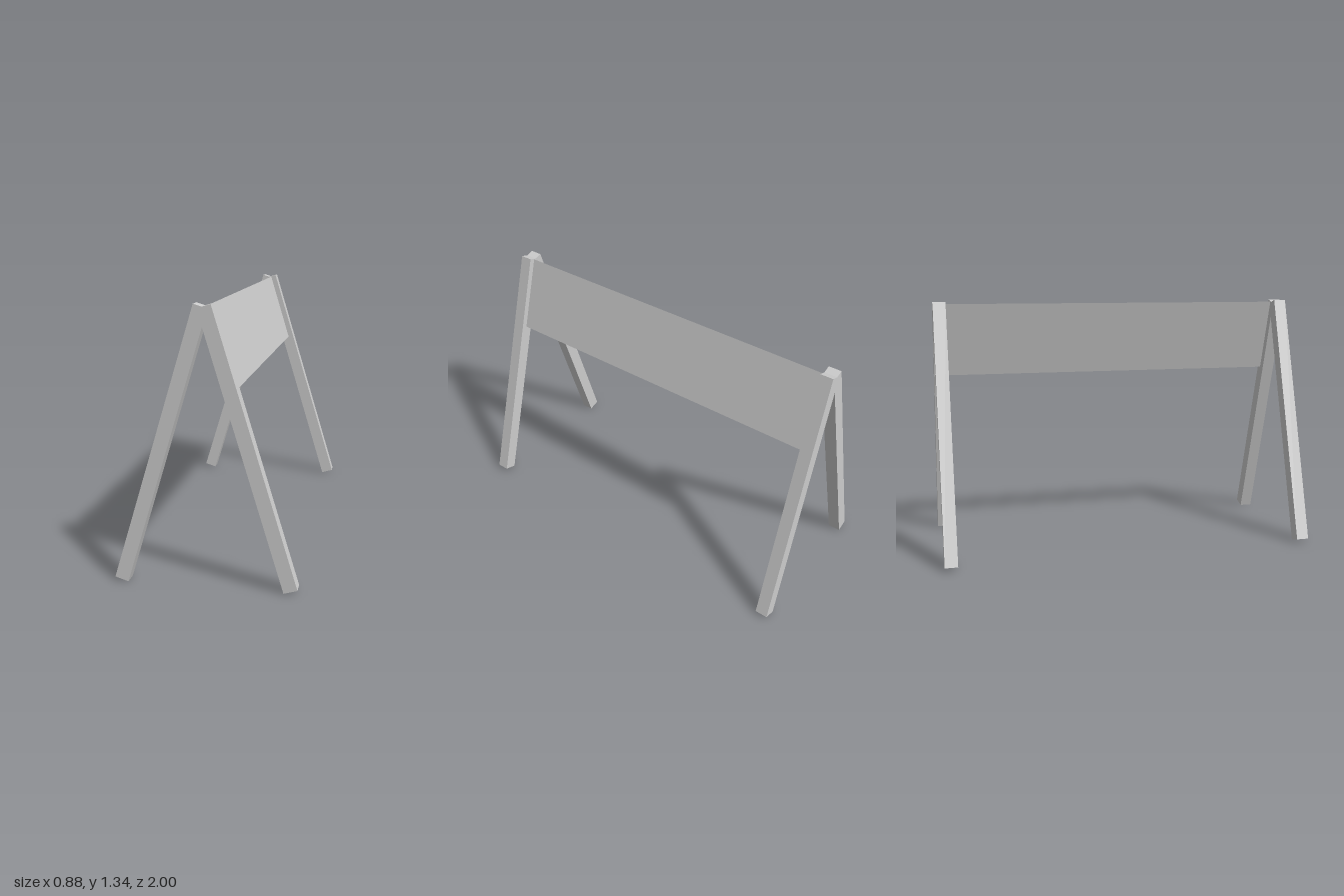
import * as THREE from 'three';

export function createModel() {
  const group = new THREE.Group();
  group.name = 'aFrameBarrier';
  const material = new THREE.MeshStandardMaterial({ color: 0xcccccc, flatShading: true });
  const panelMaterial = material.clone();
  panelMaterial.side = THREE.DoubleSide;

  const tilt = 0.295;
  const legWidth = 0.068, legDepth = 0.067, legLength = 1.375;

  // Two crossed pairs of square legs, one pair at each end
  const legGeometry = new THREE.BoxGeometry(legWidth, legLength, legDepth);
  for (const end of [1, -1]) {
    for (const side of [1, -1]) {
      const leg = new THREE.Mesh(legGeometry, material);
      leg.name = (end > 0 ? 'front' : 'back') + (side > 0 ? 'Left' : 'Right') + 'Leg';
      leg.position.set(side * 0.2075, 0.6675, end * (1 - legDepth / 2));
      leg.rotation.z = side * tilt;
      group.add(leg);
    }
  }

  // Thin board stretched between the left legs, leaning with them
  const panel = new THREE.Mesh(new THREE.PlaneGeometry(2 * (1 - legDepth), 0.411), panelMaterial);
  panel.name = 'panel';
  panel.rotation.y = Math.PI / 2;
  const lean = new THREE.Group();
  lean.name = 'panelMount';
  lean.position.set(0.072, 1.127, 0);
  lean.rotation.z = tilt;
  lean.add(panel);
  group.add(lean);

  return group;
}
